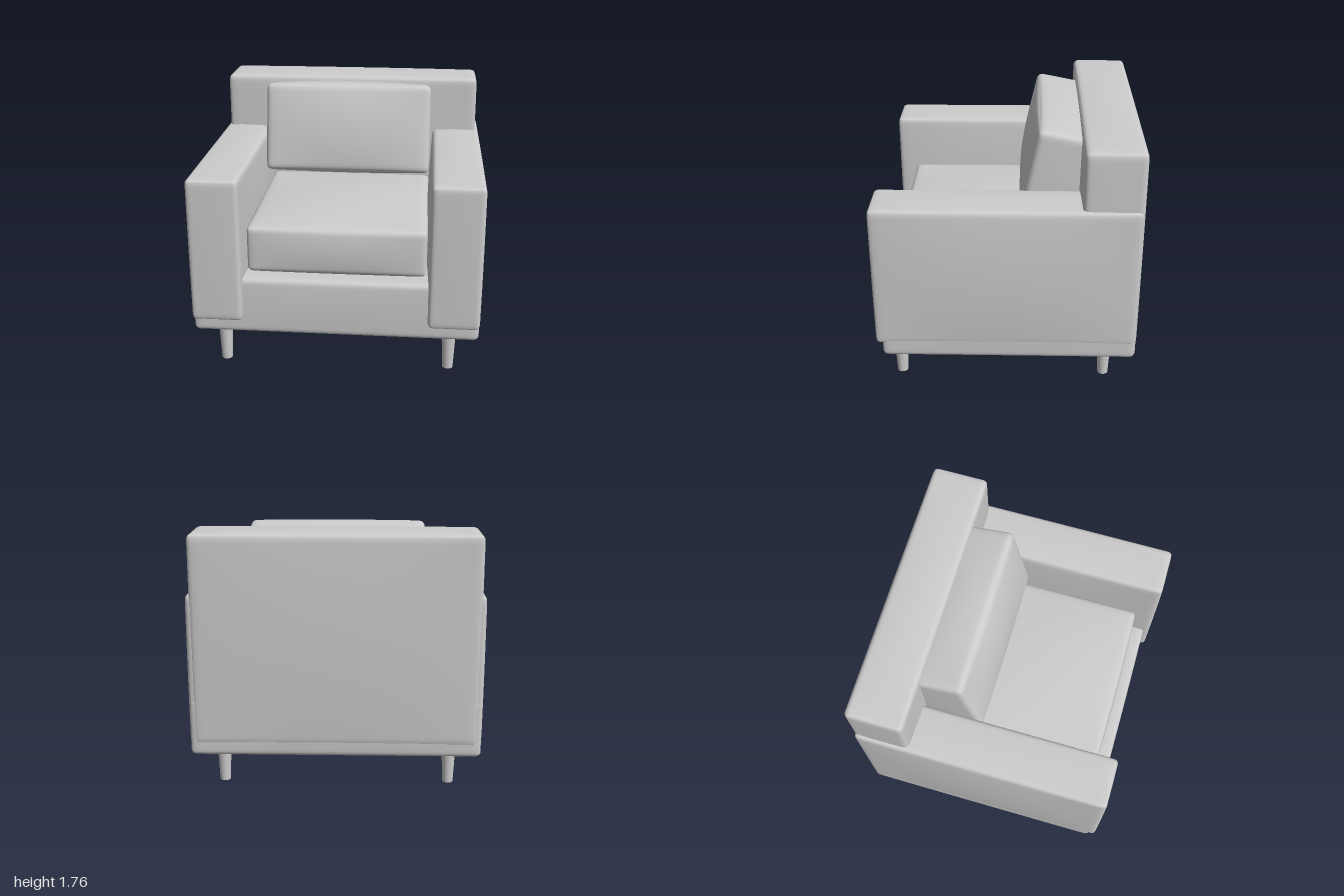
import * as THREE from 'three';
import { mergeVertices } from 'three/addons/utils/BufferGeometryUtils.js';

// Rounded box given by its extents, with each pair of faces bulging by [bx, by, bz]
function pillowGeometry(size, radius, bulge) {
  const n = 24;
  let geo = new THREE.BoxGeometry(2, 2, 2, n, n, n);
  geo.deleteAttribute('uv');
  geo.deleteAttribute('normal');
  geo = mergeVertices(geo, 1e-4);
  const pos = geo.attributes.position;
  const half = new THREE.Vector3(...size).multiplyScalar(0.5);
  const inner = half.clone().subScalar(radius);
  const p = new THREE.Vector3();
  const core = new THREE.Vector3();
  for (let i = 0; i < pos.count; i++) {
    // crowd the grid towards the edges
    p.fromBufferAttribute(pos, i);
    p.set(...p.toArray().map((c) => Math.sin((c * Math.PI) / 2)));
    const u = p.toArray();
    const swell = u.map((c) => 1 - c * c);
    // round the edges
    p.multiply(half);
    core.copy(p).clamp(inner.clone().negate(), inner);
    p.sub(core).setLength(radius).add(core);
    // puff the faces
    p.x += bulge[0] * u[0] * swell[1] * swell[2];
    p.y += bulge[1] * u[1] * swell[0] * swell[2];
    p.z += bulge[2] * u[2] * swell[0] * swell[1];
    pos.setXYZ(i, p.x, p.y, p.z);
  }
  geo.computeVertexNormals();
  return geo;
}

export function createModel() {
  const group = new THREE.Group();
  group.name = 'armchair';

  const fabric = new THREE.MeshStandardMaterial({ color: 0xcccccc });
  fabric.name = 'light grey';

  function addPillow(name, [x0, x1], [y0, y1], [z0, z1], radius, bulge) {
    const mesh = new THREE.Mesh(pillowGeometry([x1 - x0, y1 - y0, z1 - z0], radius, bulge), fabric);
    mesh.position.set((x0 + x1) / 2, (y0 + y1) / 2, (z0 + z1) / 2);
    mesh.name = name;
    group.add(mesh);
    return mesh;
  }

  // Frame
  addPillow('base', [-0.97, 0.97], [0.25, 0.65], [-0.865, 0.845], 0.035, [0.005, 0.015, 0.008]);
  addPillow('backrest', [-0.945, 0.945], [0.33, 1.745], [-0.872, -0.48], 0.035, [0.005, 0.015, 0.02]);

  // Arms
  addPillow('leftArm', [0.625, 0.972], [0.35, 1.35], [-0.86, 0.887], 0.03, [0.025, 0.012, 0.005]);
  addPillow('rightArm', [-0.972, -0.625], [0.35, 1.35], [-0.86, 0.887], 0.03, [0.025, 0.012, 0.005]);

  // Cushions
  addPillow('seatCushion', [-0.605, 0.605], [0.66, 0.985], [-0.5, 0.75], 0.035, [0.01, 0.045, 0.018]);
  const cushion = addPillow('backCushion', [-0.602, 0.602], [1.08, 1.72], [-0.53, -0.13], 0.04, [0.005, 0.022, 0.035]);
  cushion.rotation.x = -0.2;

  // Tapered legs
  const legGeo = new THREE.CylinderGeometry(0.049, 0.036, 0.28, 24);
  for (const x of [-0.772, 0.772]) {
    for (const z of [0.745, -0.67]) {
      const leg = new THREE.Mesh(legGeo, fabric);
      leg.position.set(x, 0.14, z);
      leg.name = (z > 0 ? 'front' : 'back') + (x > 0 ? 'Left' : 'Right') + 'Leg';
      group.add(leg);
    }
  }
  return group;
}
